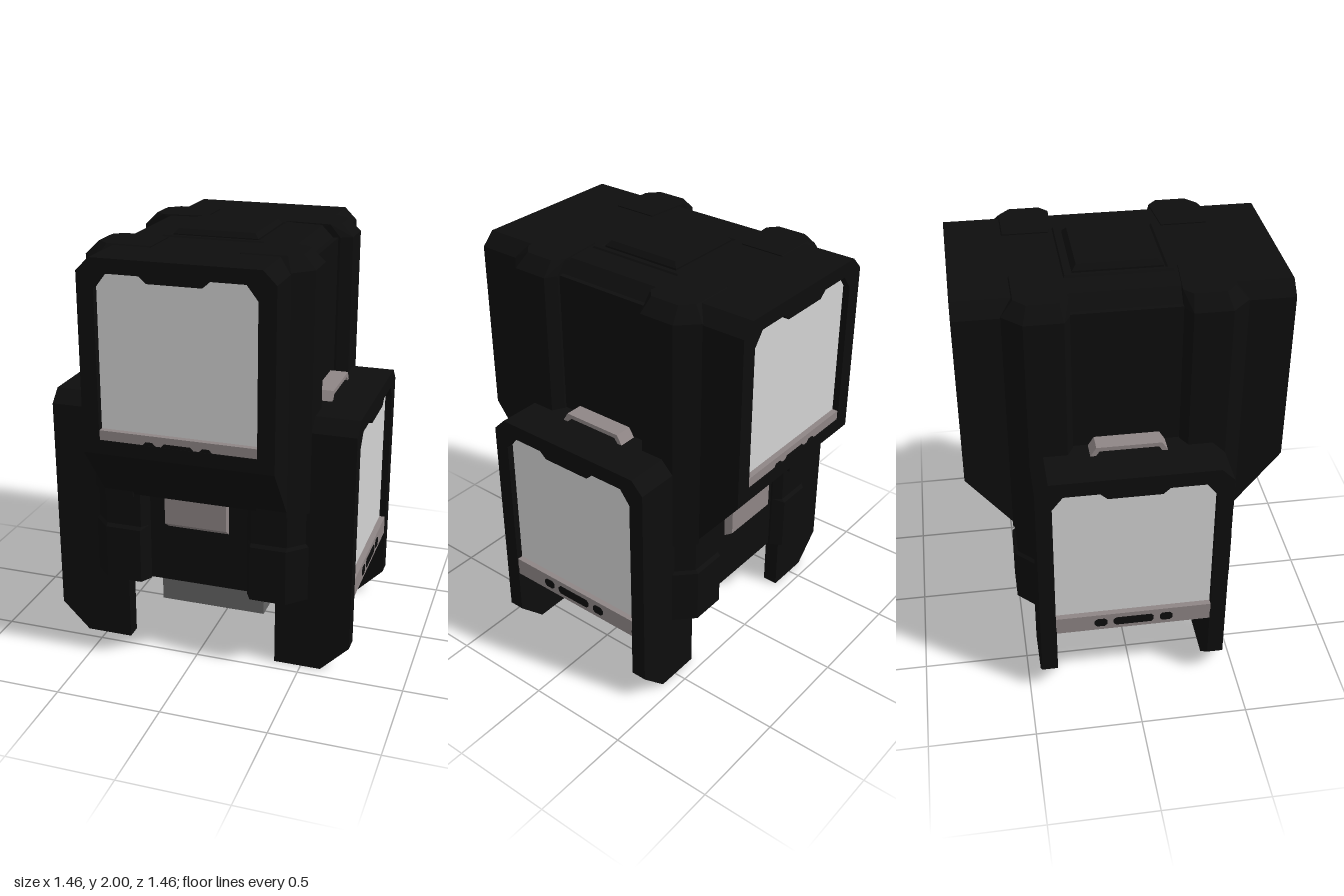
import * as THREE from 'three';
import { ConvexGeometry } from 'three/addons/geometries/ConvexGeometry.js';

function mat(name, color) {
  const m = new THREE.MeshStandardMaterial({ color });
  m.name = name;
  return m;
}

// Mirror a half outline (listed from bottom to top on the + side) into a closed one
const mirrored = (half) => [...half, ...half.slice().reverse().map(([x, y]) => [-x, y])];
const vecs = (pts) => pts.map((p) => new THREE.Vector2(...p));

// Outline in (x, y) pushed from z = a to z = b
function slab(pts, a, b, hole) {
  const shape = new THREE.Shape(vecs(pts));
  if (hole) shape.holes.push(new THREE.Path(vecs(hole)));
  return new THREE.ExtrudeGeometry(shape, { depth: b - a, bevelEnabled: false }).translate(0, 0, a);
}

function box(w, h, d, x, y, z) {
  return new THREE.BoxGeometry(w, h, d).translate(x, y, z);
}

function chamferedArch(w, y0, y1, c) {
  return mirrored([[w, y0], [w, y1 - c], [w - c, y1]]);
}

// Screen outline with cut corners and a tab hanging in the middle of the top edge
function screenOutline(w, y0, y1) {
  return mirrored([[w, y0], [w, y1 - 0.065], [w - 0.05, y1], [0.155, y1], [0.122, y1 - 0.03]]);
}

// Square profile turned on four sides with flat faces
function squareLathe(profile) {
  const pts = profile.map(([r, y]) => new THREE.Vector2(r * Math.SQRT2, y));
  const g = new THREE.LatheGeometry(pts, 4, Math.PI / 4).toNonIndexed();
  g.computeVertexNormals();
  return g;
}

// Convex solid from plan outlines [[y, [[x, z], ...]], ...], placed in one quadrant
function corner(layers, sx, sz) {
  const pts = [];
  for (const [y, plan] of layers) for (const [x, z] of plan) pts.push(new THREE.Vector3(x * sx, y, z * sz));
  return new ConvexGeometry(pts);
}

export function createModel() {
  const group = new THREE.Group();
  const black = mat('black casing', 0x0d0d0d);
  const white = mat('pale screen', 0xd2d2d2);
  const grey = mat('warm grey trim', 0x8e8585);
  const steel = mat('steel grey', 0x646464);
  const dark = mat('dark grey', 0x3c3c3c);

  const add = (name, geometry, material, parent = group) => {
    const m = new THREE.Mesh(geometry, material);
    m.name = name;
    parent.add(m);
    return m;
  };

  // Central casing and the two crossing blocks
  add('core', box(0.92, 1.55, 0.92, 0, 1.14, 0), black);
  add('upperBlock', slab(chamferedArch(0.44, 1.09, 1.97, 0.06), -0.69, 0.69), black);
  add('lowerBlock', slab(chamferedArch(0.44, 0.362, 1.247, 0.06), -0.69, 0.69).rotateY(Math.PI / 2), black);
  add('overhang', slab(mirrored([[0.51, 0.81], [0.73, 1.09]]), -0.44, 0.44).rotateY(Math.PI / 2), black);

  // Front and back faces; each half is the other turned by 180 degrees
  for (const turn of [0, Math.PI]) {
    const half = new THREE.Group();
    half.name = turn ? 'backFace' : 'frontFace';
    half.rotation.y = turn;
    group.add(half);
    const screen = screenOutline(0.362, 1.155, 1.905);
    add('upperFrame', slab(chamferedArch(0.44, 1.09, 1.97, 0.06), 0.69, 0.73, screen), black, half);
    add('upperScreen', slab(screen, 0.69, 0.698), white, half);
    add('upperSill', box(0.724, 0.045, 0.034, 0, 1.1775, 0.708), grey, half);
    for (const [x, w] of [[-0.13, 0.06], [0, 0.15], [0.13, 0.06]]) {
      add('upperSillSlot', slab(mirrored([[w / 2, 1.155], [w / 2 - 0.015, 1.17]]), 0.72, 0.729)
        .translate(x, 0, 0), black, half);
    }
    // Grip in the recess below the overhang
    const grip = [[-0.45, 0.64], [-0.45, 0.81], [-0.505, 0.81], [-0.505, 0.68]];
    add('recessGrip', slab(grip, -0.15, 0.15).rotateY(Math.PI / 2), grey, half);
  }

  // Left and right faces
  for (const turn of [Math.PI / 2, -Math.PI / 2]) {
    const side = new THREE.Group();
    side.name = turn > 0 ? 'leftFace' : 'rightFace';
    side.rotation.y = turn;
    group.add(side);
    const screen = screenOutline(0.367, 0.45, 1.175);
    const sideFrame = [
      [0.44, 0.362], [0.44, 1.187], [0.38, 1.247], [-0.38, 1.247], [-0.44, 1.187], [-0.44, 0.362],
      [-0.367, 0.362], ...screen.slice().reverse(), [0.367, 0.362],
    ];
    add('sideFrame', slab(sideFrame, 0.69, 0.73), black, side);
    add('sideScreen', slab(screen, 0.69, 0.698), white, side);
    add('sideSill', box(0.734, 0.09, 0.036, 0, 0.406, 0.708), grey, side);
    // Ports in the sill
    for (const [x, w] of [[-0.155, 0.03], [0, 0.095], [0.155, 0.03]]) {
      const c = 0.012;
      const port = mirrored([[w - c, -0.022], [w, -0.022 + c], [w, 0.022 - c], [w - c, 0.022]]);
      add('sillPort', slab(port, 0.722, 0.729).translate(x, 0.405, 0), black, side);
    }
    // Carry handle on the shoulder
    const handle = mirrored([[0.15, 1.245], [0.175, 1.245], [0.147, 1.29]]);
    handle.push([-0.15, 1.245], [-0.132, 1.27], [0.132, 1.27]);
    const order = [...handle.slice(1, 5), ...handle.slice(6)];
    add('carryHandle', slab([[0.15, 1.245], ...order], 0.465, 0.55), grey, side);
  }

  // Corner pillars and legs
  const upperPlan = [[0.3, 0.24], [0.47, 0.24], [0.525, 0.27], [0.525, 0.44], [0.44, 0.525], [0.3, 0.525]];
  const upperTop = [[0.2, 0.26], [0.42, 0.24], [0.465, 0.28], [0.465, 0.42], [0.41, 0.47], [0.2, 0.47]];
  const lowerPlan = [[0.24, 0.3], [0.24, 0.47], [0.27, 0.525], [0.44, 0.525], [0.525, 0.44], [0.525, 0.3]];
  const inset = lowerPlan.map(([x, z]) => [Math.min(x, 0.51), Math.min(z, 0.51)]);
  const leg = [[0.37, 0], [0.595, 0], [0.73, 0.135], [0.73, 0.4], [0.37, 0.4]];
  for (const sx of [1, -1]) {
    for (const sz of [1, -1]) {
      add('upperPillar', corner([[0.8, upperPlan], [1.915, upperPlan], [1.975, upperTop]], sx, sz), black);
      add('lowerPillar', corner([[0.362, lowerPlan], [0.63, lowerPlan], [0.645, inset]], sx, sz), black);
      add('pillarNeck', corner([[0.64, inset], [0.9, inset]], sx, sz), black);
      const outline = leg.map(([x, y]) => [x * sx, y]);
      const z0 = sz > 0 ? 0.365 : -0.44;
      add('leg', slab(outline, z0, z0 + 0.075), black);
    }
  }

  // Raised cap on the roof
  add('capRim', squareLathe([[0.245, 1.965], [0.235, 1.977], [0.215, 1.977], [0.205, 1.968]]), black);
  add('roofCap', squareLathe([[0.2, 1.96], [0.2, 1.978], [0.18, 2], [0, 2]]), black);

  // Underside plate and square nozzle
  add('basePlate', box(1.44, 0.008, 0.73, 0, 0.36, 0), grey);
  add('baseInset', box(0.78, 0.006, 0.7, 0, 0.356, 0), dark);
  add('nozzle', squareLathe([
    [0.16, 0.3], [0.225, 0.14], [0.263, 0.14], [0.263, 0.25], [0.293, 0.29], [0.293, 0.36],
  ]), steel);
  add('nozzleFloor', box(0.36, 0.008, 0.36, 0, 0.302, 0), dark);
  return group;
}
